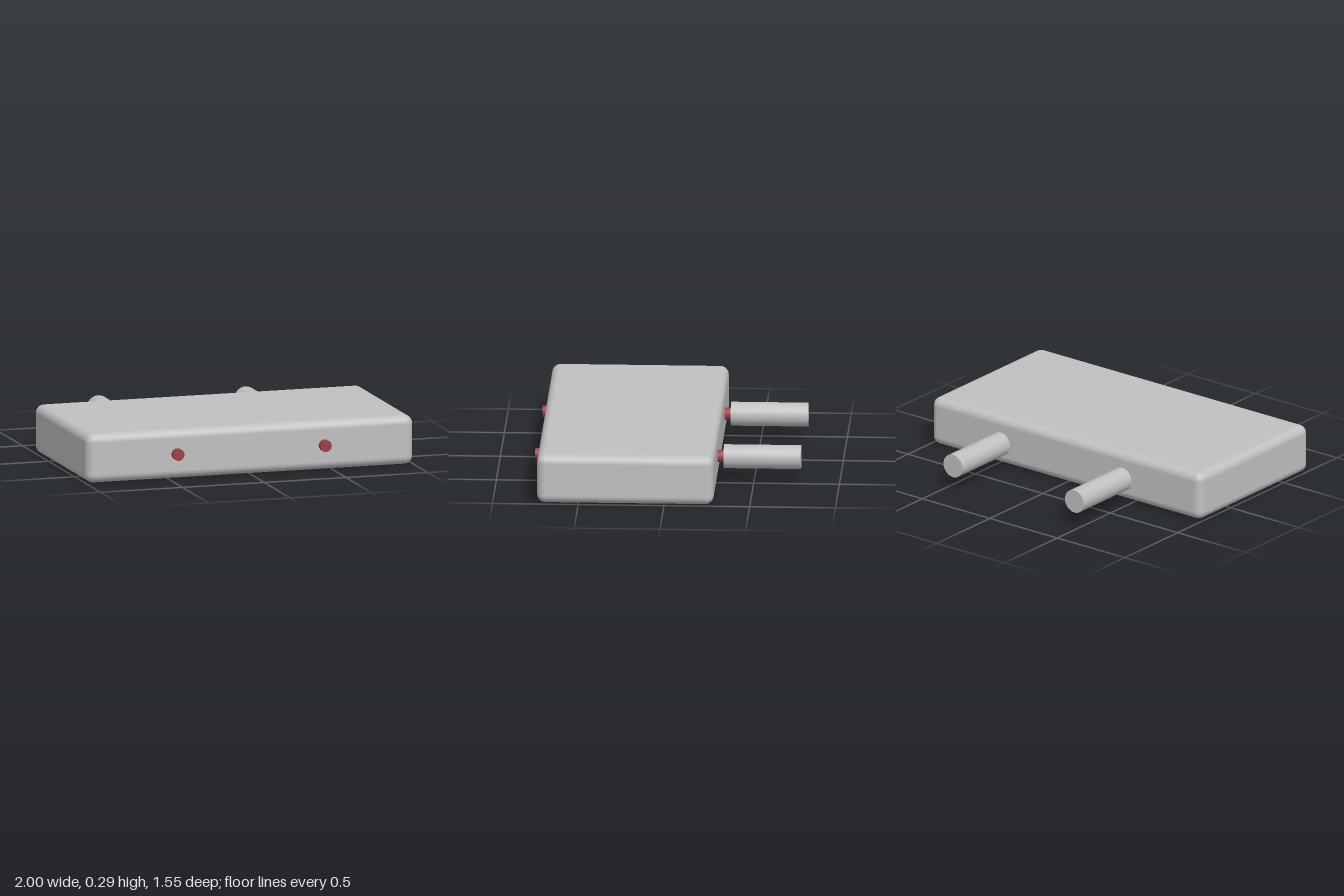
import * as THREE from 'three';
import { RoundedBoxGeometry } from 'three/addons/geometries/RoundedBoxGeometry.js';

export function createModel() {
  const model = new THREE.Group();
  model.name = 'blockWithPegs';

  const grey = new THREE.MeshStandardMaterial({ color: 0xc0c0c0 });
  grey.name = 'light grey';
  const red = new THREE.MeshStandardMaterial({ color: 0x9e3d46 });
  red.name = 'dark red';

  const axisY = 0.147;

  // Slab with softly rounded edges
  const slab = new THREE.Mesh(new RoundedBoxGeometry(2, 0.29, 1.03, 5, 0.05), grey);
  slab.name = 'slab';
  slab.position.set(0, 0.145, 0.227);
  model.add(slab);

  // Cylinder lying along z between two depths
  function rod(name, x, radius, zBack, zFront, sides, material) {
    const geometry = new THREE.CylinderGeometry(radius, radius, zFront - zBack, sides);
    geometry.rotateX(Math.PI / 2);
    const mesh = new THREE.Mesh(geometry, material);
    mesh.name = name;
    mesh.position.set(x, axisY, (zBack + zFront) / 2);
    model.add(mesh);
  }

  // Red pins run through the slab into the handles behind it
  for (const [side, x] of [['left', 0.45], ['right', -0.45]]) {
    rod(side + 'Pin', x, 0.035, -0.4, 0.775, 16, red);
    rod(side + 'Handle', x, 0.07, -0.775, -0.325, 32, grey);
  }

  return model;
}
